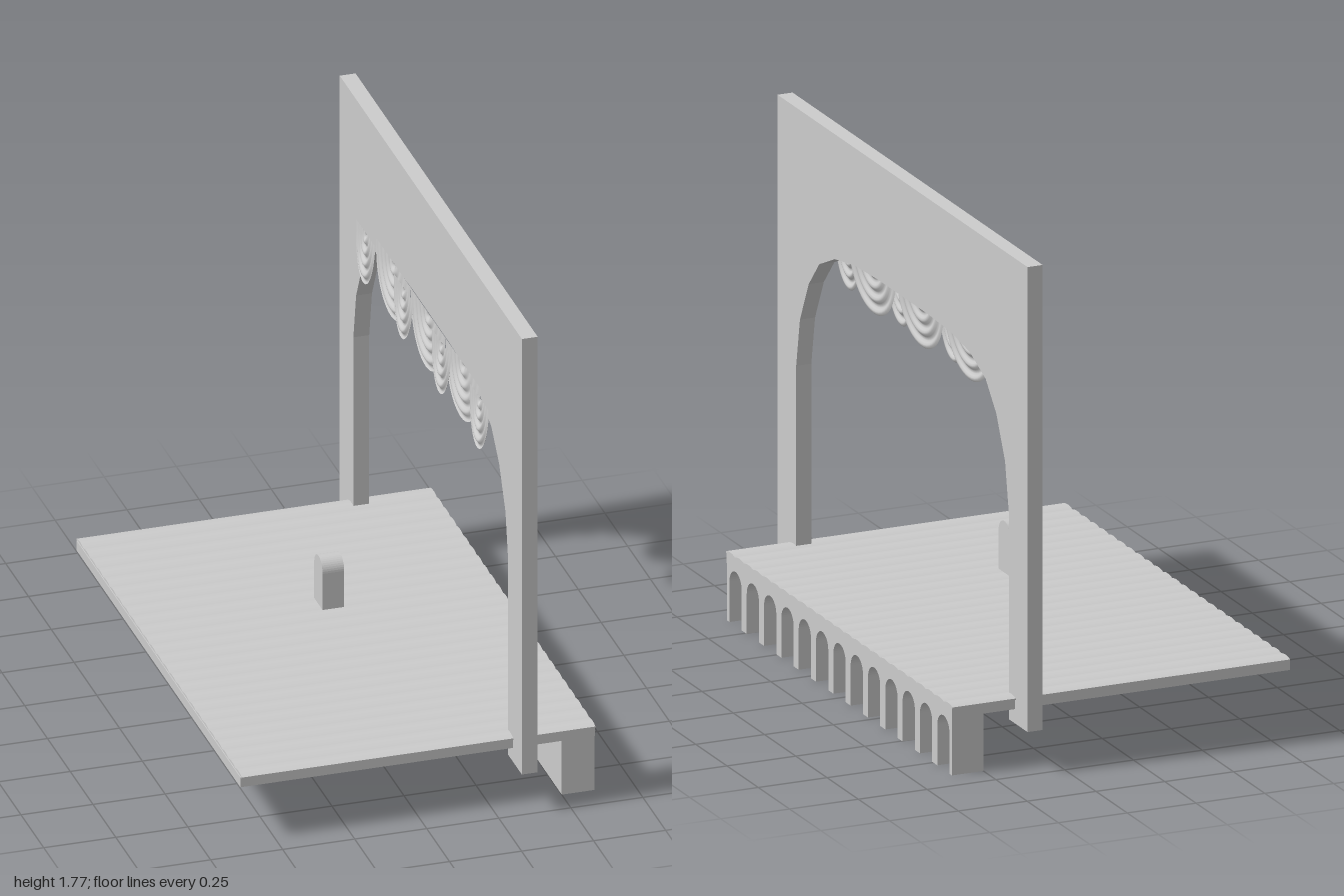
import * as THREE from 'three';

const grey = new THREE.MeshStandardMaterial({ color: 0xcccccc, flatShading: true });
const cloth = new THREE.MeshStandardMaterial({ color: 0xcccccc, side: THREE.DoubleSide });

function add(parent, name, geometry, material = grey) {
  const mesh = new THREE.Mesh(geometry, material);
  mesh.name = name;
  parent.add(mesh);
  return mesh;
}

// Extrudes a z/y outline along x, from x0 to x1
function extrudeX(shape, x0, x1) {
  const g = new THREE.ExtrudeGeometry(shape, { depth: x1 - x0, bevelEnabled: false, curveSegments: 10 });
  return g.rotateY(Math.PI / 2).translate(x0, 0, 0);
}

function box(x0, x1, y0, y1, z0, z1) {
  return new THREE.BoxGeometry(x1 - x0, y1 - y0, z1 - z0)
    .translate((x0 + x1) / 2, (y0 + y1) / 2, (z0 + z1) / 2);
}

// Half-round drape with concentric folds, leaning slightly back at the hem
function swag(halfWidth, drop) {
  const rings = 28, steps = 24, folds = 4.5;
  const g = new THREE.PlaneGeometry(1, 1, steps, rings);
  const p = g.attributes.position;
  for (let i = 0; i < p.count; i++) {
    const a = (p.getX(i) + 0.5) * Math.PI;
    const r = 0.5 - p.getY(i);
    const fold = 0.006 * Math.sin(r * folds * Math.PI * 2) * Math.sin(a);
    const y = -Math.sin(a) * r * drop;
    p.setXYZ(i, fold + y * 0.05, y, Math.cos(a) * r * halfWidth);
  }
  g.computeVertexNormals();
  return g;
}

export function createModel() {
  const model = new THREE.Group();
  model.name = 'theatreStage';

  // Floor slab with a row of slightly domed planks
  const floor = new THREE.Group();
  floor.name = 'stageFloor';
  model.add(floor);
  add(floor, 'floorSlab', box(-0.615, 0.615, 0.2, 0.236, -0.9, 0.9));
  const planks = 25, w = 1.814 / planks;
  const profile = new THREE.Shape();
  profile.moveTo(-w / 2, 0.234);
  profile.lineTo(w / 2, 0.234);
  profile.lineTo(w / 2, 0.239);
  profile.quadraticCurveTo(0, 0.251, -w / 2, 0.239);
  const plankGeometry = extrudeX(profile, -0.612, 0.615);
  for (let i = 0; i < planks; i++) {
    add(floor, 'plank', plankGeometry).position.z = (i - (planks - 1) / 2) * w;
  }

  // Front wall with thirteen arched niches, open at the bottom
  const wall = new THREE.Group();
  wall.name = 'frontWall';
  model.add(wall);
  const arcade = new THREE.Shape();
  const r = 0.049;
  arcade.moveTo(-0.9, 0);
  for (let i = -6; i <= 6; i++) {
    const c = i * 0.1385;
    arcade.lineTo(c - r, 0);
    arcade.lineTo(c - r, 0.14);
    arcade.absarc(c, 0.14, r, Math.PI, 0, true);
    arcade.lineTo(c + r, 0);
  }
  arcade.lineTo(0.9, 0);
  arcade.lineTo(0.9, 0.22);
  arcade.lineTo(-0.9, 0.22);
  add(wall, 'arcade', extrudeX(arcade, 0.525, 0.614));
  add(wall, 'arcadeBack', box(0.5, 0.525, 0, 0.22, -0.9, 0.9));

  // Proscenium frame with a faceted arch opening
  const half = [[0.85, 0.15], [0.85, 0.87], [0.82, 1.04], [0.75, 1.185],
    [0.665, 1.28], [0.54, 1.335], [0.386, 1.36], [0.2, 1.367]];
  const frame = new THREE.Shape();
  frame.moveTo(-1, 0.15);
  half.forEach(([z, y]) => frame.lineTo(-z, y));
  [...half].reverse().forEach(([z, y]) => frame.lineTo(z, y));
  frame.lineTo(1, 0.15);
  frame.lineTo(1, 1.77);
  frame.lineTo(-1, 1.77);
  add(model, 'prosceniumFrame', extrudeX(frame, 0.33, 0.385));

  // Valance: three wide swags with four narrow ones behind
  const valance = new THREE.Group();
  valance.name = 'valance';
  model.add(valance);
  const wide = swag(0.19, 0.195), narrow = swag(0.105, 0.183);
  for (const z of [-0.383, 0, 0.383]) {
    add(valance, 'wideSwag', wide, cloth).position.set(0.322, 1.377, z);
  }
  for (const z of [-0.625, -0.208, 0.208, 0.625]) {
    add(valance, 'narrowSwag', narrow, cloth).position.set(0.302, 1.373, z);
  }

  // Small round-topped block above the stage
  const block = new THREE.Shape();
  block.moveTo(-0.046, 0.355);
  block.lineTo(0.046, 0.355);
  block.lineTo(0.046, 0.489);
  block.absarc(0, 0.489, 0.046, 0, Math.PI, false);
  add(model, 'roundTopBlock', extrudeX(block, -0.06, 0.015));

  return model;
}
